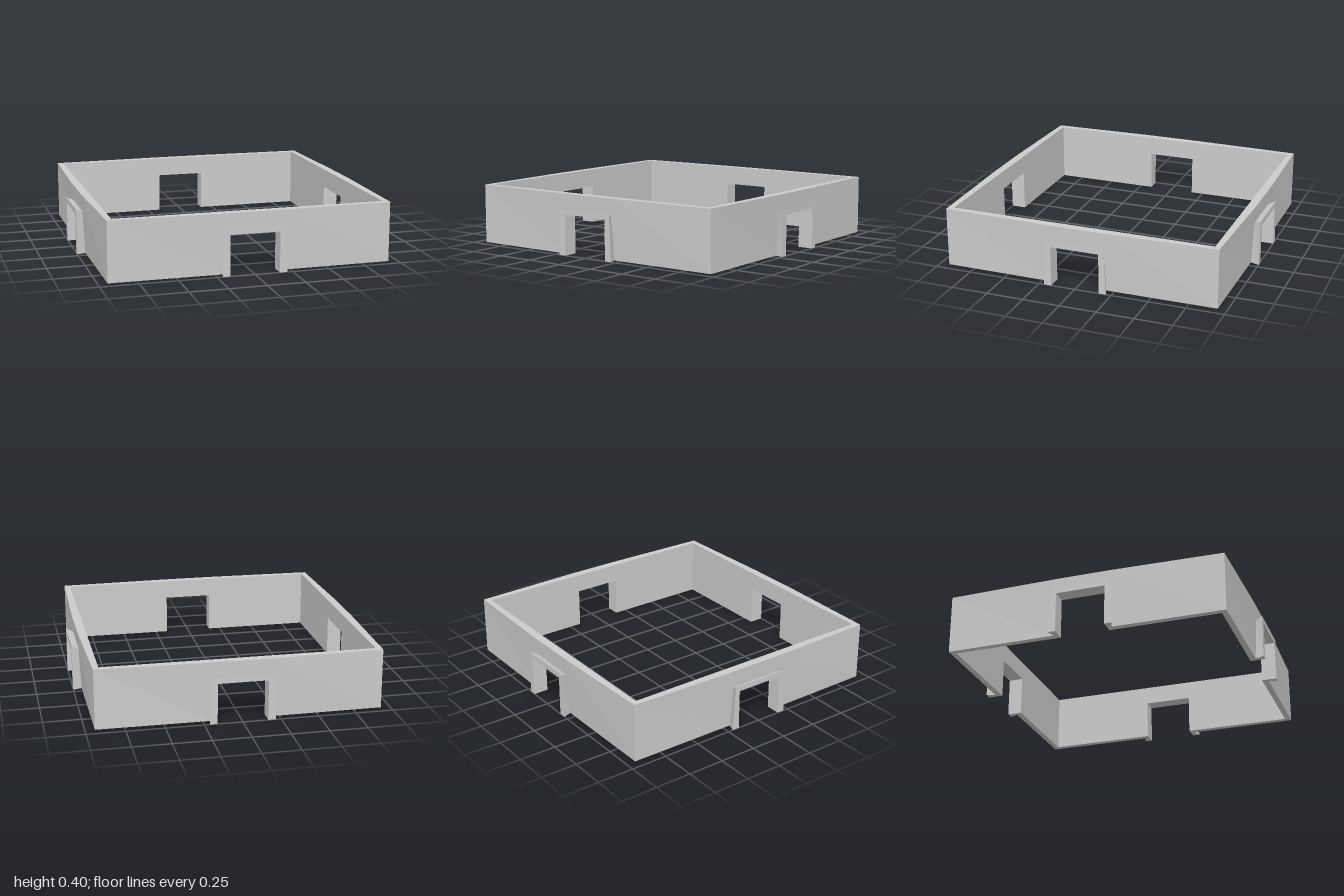
import * as THREE from 'three';

// Flat-shaded geometry from polygons of one half, mirrored across x = 0
function mirroredPanels(polygons) {
  const pos = [];
  for (const s of [1, -1]) {
    for (const poly of polygons) {
      const pts = s > 0 ? poly : [...poly].reverse();
      for (let i = 1; i < pts.length - 1; i++) {
        for (const [x, y, z] of [pts[0], pts[i], pts[i + 1]]) pos.push(s * x, y, z);
      }
    }
  }
  const geo = new THREE.BufferGeometry();
  geo.setAttribute('position', new THREE.Float32BufferAttribute(pos, 3));
  geo.computeVertexNormals();
  return geo;
}

const H = 0.4;        // wall height
const IN = 0.9;       // inner wall face
const OUT = 0.938;    // outer corner
const DOOR_W = 0.165; // half width of the opening
const DOOR_H = 0.27;

// Where the outer wall bulges and meets the door frame
const knee = [0.2, H, 0.957];
const backTop = [0.18, 0.285, 0.953];
const backFoot = [0.195, 0, 0.942];
const frontTop = [0.2, 0.305, 1];
const frontFoot = [0.215, 0, 1];
const onAxis = ([, y, z]) => [0, y, z];

const wallPanels = [
  // outer face beside and above the frame
  [[OUT, 0, OUT], [OUT, H, OUT], knee, backTop, backFoot],
  [onAxis(backTop), backTop, knee, onAxis(knee)],
  // inner face
  [[DOOR_W, 0, IN], [DOOR_W, H, IN], [IN, H, IN], [IN, 0, IN]],
  [[0, DOOR_H, IN], [0, H, IN], [DOOR_W, H, IN], [DOOR_W, DOOR_H, IN]],
  // rim and underside
  [[0, H, IN], onAxis(knee), knee, [OUT, H, OUT], [IN, H, IN]],
  [[DOOR_W, 0, IN], [IN, 0, IN], [OUT, 0, OUT], backFoot, [DOOR_W, 0, 0.942]],
];

const framePanels = [
  // front of jamb and lintel
  [[DOOR_W, 0, 1], frontFoot, frontTop, [DOOR_W, DOOR_H, 1]],
  [[0, DOOR_H, 1], [DOOR_W, DOOR_H, 1], frontTop, onAxis(frontTop)],
  // flared side, sloping top and foot
  [backFoot, backTop, frontTop, frontFoot],
  [onAxis(backTop), onAxis(frontTop), frontTop, backTop],
  [[DOOR_W, 0, 0.942], backFoot, frontFoot, [DOOR_W, 0, 1]],
  // lining of the opening, through the wall
  [[DOOR_W, 0, IN], [DOOR_W, 0, 1], [DOOR_W, DOOR_H, 1], [DOOR_W, DOOR_H, IN]],
  [[0, DOOR_H, IN], [DOOR_W, DOOR_H, IN], [DOOR_W, DOOR_H, 1], [0, DOOR_H, 1]],
];

export function createModel() {
  const model = new THREE.Group();
  model.name = 'squareEnclosure';
  const material = new THREE.MeshStandardMaterial({ color: 0xcccccc, flatShading: true });
  const wallGeo = mirroredPanels(wallPanels);
  const frameGeo = mirroredPanels(framePanels);

  // Four identical sides, each a wall with a door frame
  ['front', 'left', 'back', 'right'].forEach((name, i) => {
    const side = new THREE.Group();
    side.name = name + 'Side';
    const wall = new THREE.Mesh(wallGeo, material);
    wall.name = name + 'Wall';
    const frame = new THREE.Mesh(frameGeo, material);
    frame.name = name + 'DoorFrame';
    side.add(wall, frame);
    side.rotation.y = i * Math.PI / 2;
    model.add(side);
  });
  return model;
}
